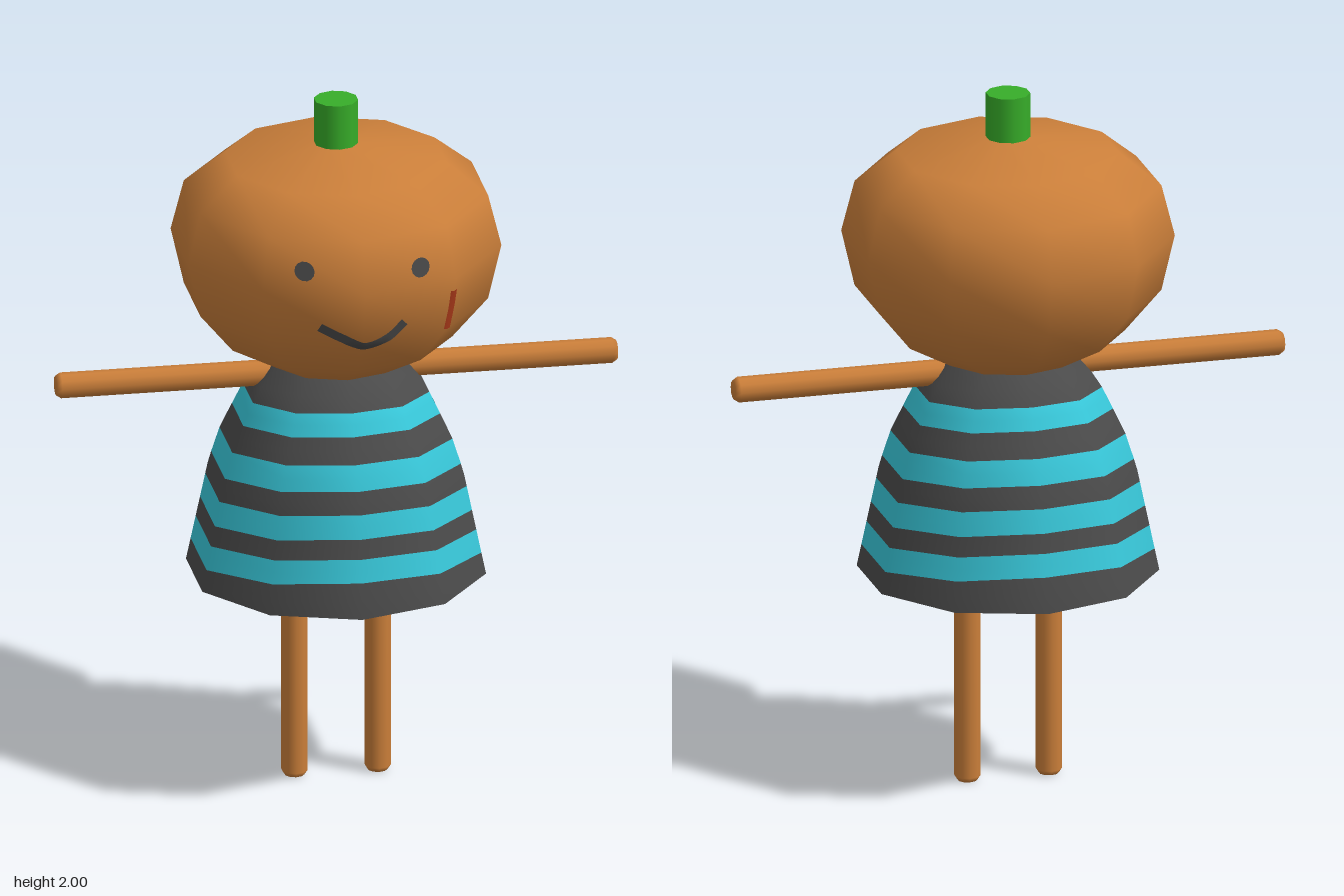
import * as THREE from 'three';

const SIDES = 10;
const mat = (name, color, side = THREE.FrontSide) => {
  const m = new THREE.MeshStandardMaterial({ color, side });
  m.name = name;
  return m;
};

// Radius against height, bottom to top
const HEAD = [[0.19, 1.235], [0.325, 1.31], [0.426, 1.43], [0.463, 1.59], [0.426, 1.735], [0.31, 1.828], [0.06, 1.872]];
const DRESS = [[0.42, 0.61], [0.357, 0.91], [0.325, 1.01], [0.25, 1.165], [0.185, 1.24]];

function radiusAt(profile, y) {
  for (let i = 1; i < profile.length; i++) {
    const [r0, y0] = profile[i - 1], [r1, y1] = profile[i];
    if (y <= y1) return r0 + (r1 - r0) * Math.max(0, (y - y0) / (y1 - y0));
  }
  return profile[profile.length - 1][0];
}

const lathe = (profile, sides = SIDES) =>
  new THREE.LatheGeometry(profile.map(([r, y]) => new THREE.Vector2(r, y)), sides);

// Straight limb with a slightly bevelled tip at y = 0
const limb = (r, length) => lathe([[0, 0], [r * 0.75, 0], [r, 0.014], [r, length]]);

// Front surface of the ten-sided head at (x, y)
function headZ(x, y) {
  const R = radiusAt(HEAD, y), a = Math.PI / SIDES, ax = Math.abs(x);
  return Math.min(...[1, 3].map(k => (R * Math.cos(a) - ax * Math.sin(k * a)) / Math.cos(k * a)));
}

// Lay a flat geometry onto the front of the head
function wrapOnHead(geo) {
  const p = geo.attributes.position;
  for (let i = 0; i < p.count; i++) p.setZ(i, headZ(p.getX(i), p.getY(i)) + 0.005);
  geo.computeVertexNormals();
  return geo;
}

function ribbon(points, width, steps) {
  const curve = new THREE.CatmullRomCurve3(points.map(([x, y]) => new THREE.Vector3(x, y, 0)));
  const geo = new THREE.PlaneGeometry(1, width, steps, 2);
  const p = geo.attributes.position;
  for (let i = 0; i < p.count; i++) {
    const u = p.getX(i) + 0.5, v = p.getY(i);
    const c = curve.getPointAt(u), t = curve.getTangentAt(u);
    p.setXY(i, c.x - t.y * v, c.y + t.x * v);
  }
  return wrapOnHead(geo);
}

// Dress shell: stripe rings sag a little towards the sides; alternate bands change material
function dressGeometry() {
  const edges = [0.61, 0.71, 0.775, 0.83, 0.897, 0.96, 1.03, 1.10, 1.16, 1.24];
  const rows = [];
  edges.forEach((y, i) => {
    rows.push(y);
    if (i < edges.length - 1) rows.push((y + edges[i + 1]) / 2);
  });
  const pos = [], index = [], geo = new THREE.BufferGeometry();
  rows.forEach((y0, j) => {
    const sag = j === 0 || j === rows.length - 1 ? 0 : 0.042 - 0.05 * (y0 - 0.71);
    for (let i = 0; i < SIDES; i++) {
      const a = (i / SIDES) * Math.PI * 2;
      const y = Math.max(0.61, y0 - sag * Math.sin(a) ** 2);
      const r = radiusAt(DRESS, y);
      pos.push(r * Math.sin(a), y, r * Math.cos(a));
    }
  });
  for (let j = 0; j < rows.length - 1; j++) {
    geo.addGroup(index.length, SIDES * 6, Math.floor(j / 2) % 2);
    for (let i = 0; i < SIDES; i++) {
      const a = j * SIDES + i, b = j * SIDES + (i + 1) % SIDES;
      index.push(a, b, a + SIDES, b, b + SIDES, a + SIDES);
    }
  }
  geo.setAttribute('position', new THREE.Float32BufferAttribute(pos, 3));
  geo.setIndex(index);
  geo.computeVertexNormals();
  return geo;
}

export function createModel() {
  const group = new THREE.Group();
  const skin = mat('orange', 0xcb7f3a);
  const green = mat('stem green', 0x37ad29);
  const grey = mat('dark grey', 0x4b4b4b, THREE.DoubleSide);
  const cyan = mat('cyan', 0x38c8da, THREE.DoubleSide);
  const purple = mat('lining purple', 0x2c0c74);
  const ink = mat('face grey', 0x474747, THREE.DoubleSide);
  const red = mat('scar red', 0xac3a1a, THREE.DoubleSide);
  const add = (name, geo, material, x = 0, y = 0, z = 0) => {
    const m = new THREE.Mesh(geo, material);
    m.name = name;
    m.position.set(x, y, z);
    group.add(m);
    return m;
  };

  // Head and stem
  add('head', lathe([[0, 1.235], ...HEAD, [0, 1.874]]), skin);
  add('stem', new THREE.CylinderGeometry(0.062, 0.062, 0.16, SIDES), green, 0, 1.92, 0);

  // Face
  for (const [x, y, name] of [[-0.16, 1.65, 'rightEye'], [0.167, 1.64, 'leftEye']]) {
    add(name, wrapOnHead(new THREE.CircleGeometry(0.027, 14).translate(x, y, 0)), ink);
  }
  add('mouth', ribbon([[-0.118, 1.482], [-0.06, 1.452], [0.01, 1.424], [0.075, 1.442], [0.122, 1.482]], 0.026, 30), ink);
  add('scar', ribbon([[0.251, 1.432], [0.262, 1.5], [0.267, 1.553]], 0.02, 8), red);

  // Striped dress and its underside
  add('dress', dressGeometry(), [grey, cyan]);
  const lining = add('dressLining', new THREE.CircleGeometry(0.418, SIDES, Math.PI / 2), purple, 0, 0.612, 0);
  lining.rotation.x = Math.PI / 2;

  // Arms and legs, mirrored
  for (const s of [1, -1]) {
    const side = s > 0 ? 'left' : 'right';
    add(side + 'Arm', limb(0.036, 0.7), skin, s * 0.79, 1.2, 0).rotation.z = s * Math.PI / 2;
    add(side + 'Leg', limb(0.037, 0.66), skin, s * 0.117, 0, 0);
  }
  return group;
}
